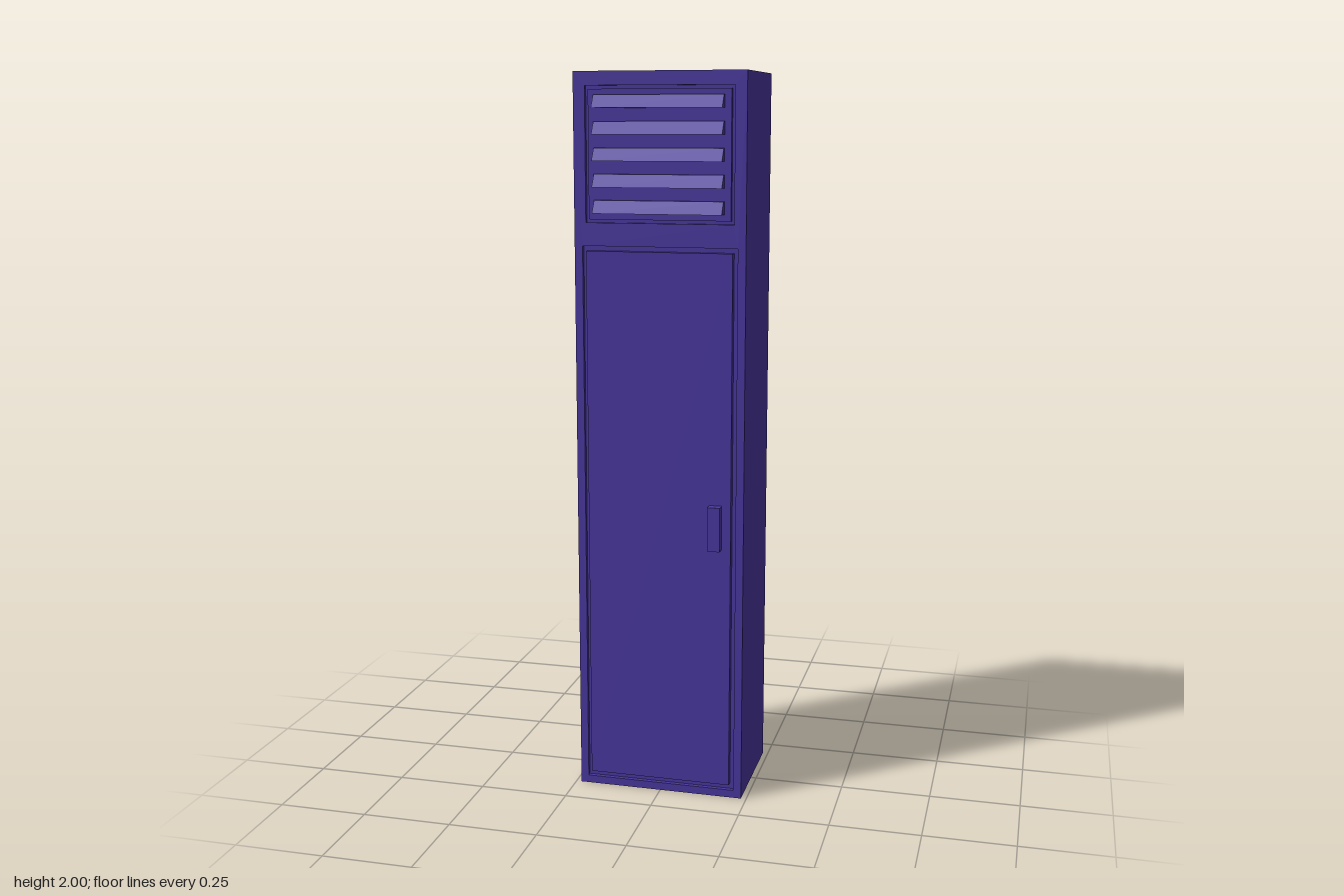
import * as THREE from 'three';

const FRONT = 0.146, BACK = -0.182, GROOVE = 0.012;

export function createModel() {
  const group = new THREE.Group();
  const material = new THREE.MeshStandardMaterial({ color: 0x4a38a0, flatShading: true });

  function add(name, geometry) {
    const mesh = new THREE.Mesh(geometry, material);
    mesh.name = name;
    group.add(mesh);
    return mesh;
  }

  // Box given by its limits on each axis
  function box(name, x0, x1, y0, y1, z0, z1) {
    add(name, new THREE.BoxGeometry(x1 - x0, y1 - y0, z1 - z0))
      .position.set((x0 + x1) / 2, (y0 + y1) / 2, (z0 + z1) / 2);
  }

  function rectangle(target, x0, x1, y0, y1) {
    target.moveTo(x0, y0);
    target.lineTo(x1, y0);
    target.lineTo(x1, y1);
    target.lineTo(x0, y1);
    target.closePath();
    return target;
  }

  // Cabinet: a closed outer shell whose front has openings for the door and vent
  const floor = FRONT - GROOVE;
  box('cabinet', -0.235, 0.235, 0, 2, BACK, floor);
  const frame = rectangle(new THREE.Shape(), -0.235, 0.235, 0, 2);
  frame.holes.push(
    rectangle(new THREE.Path(), -0.213, 0.213, 0.022, 1.543),
    rectangle(new THREE.Path(), -0.203, 0.203, 1.605, 1.963)
  );
  const frameGeometry = new THREE.ExtrudeGeometry(frame, { depth: GROOVE, bevelEnabled: false });
  add('frontFrame', frameGeometry.translate(0, 0, floor));

  // Door stands slightly proud inside its groove, with a plain handle
  box('door', -0.201, 0.201, 0.04, 1.53, floor, 0.154);
  box('handle', 0.141, 0.176, 0.725, 0.848, 0.154, 0.179);

  // Vent panel, flush with the front frame
  box('ventPanel', -0.194, 0.194, 1.614, 1.954, floor, FRONT);

  // Sloping slats: flat underside, face leaning outward to the bottom edge
  const profile = new THREE.Shape([
    new THREE.Vector2(0.14, 0),
    new THREE.Vector2(0.179, 0),
    new THREE.Vector2(0.157, 0.034),
    new THREE.Vector2(0.14, 0.034)
  ]);
  const slat = new THREE.ExtrudeGeometry(profile, { depth: 0.352, bevelEnabled: false });
  slat.rotateY(-Math.PI / 2).translate(0.176, 0, 0);
  for (let i = 0; i < 5; i++) {
    add('ventSlat', slat).position.y = 1.631 + i * 0.0685;
  }

  return group;
}
